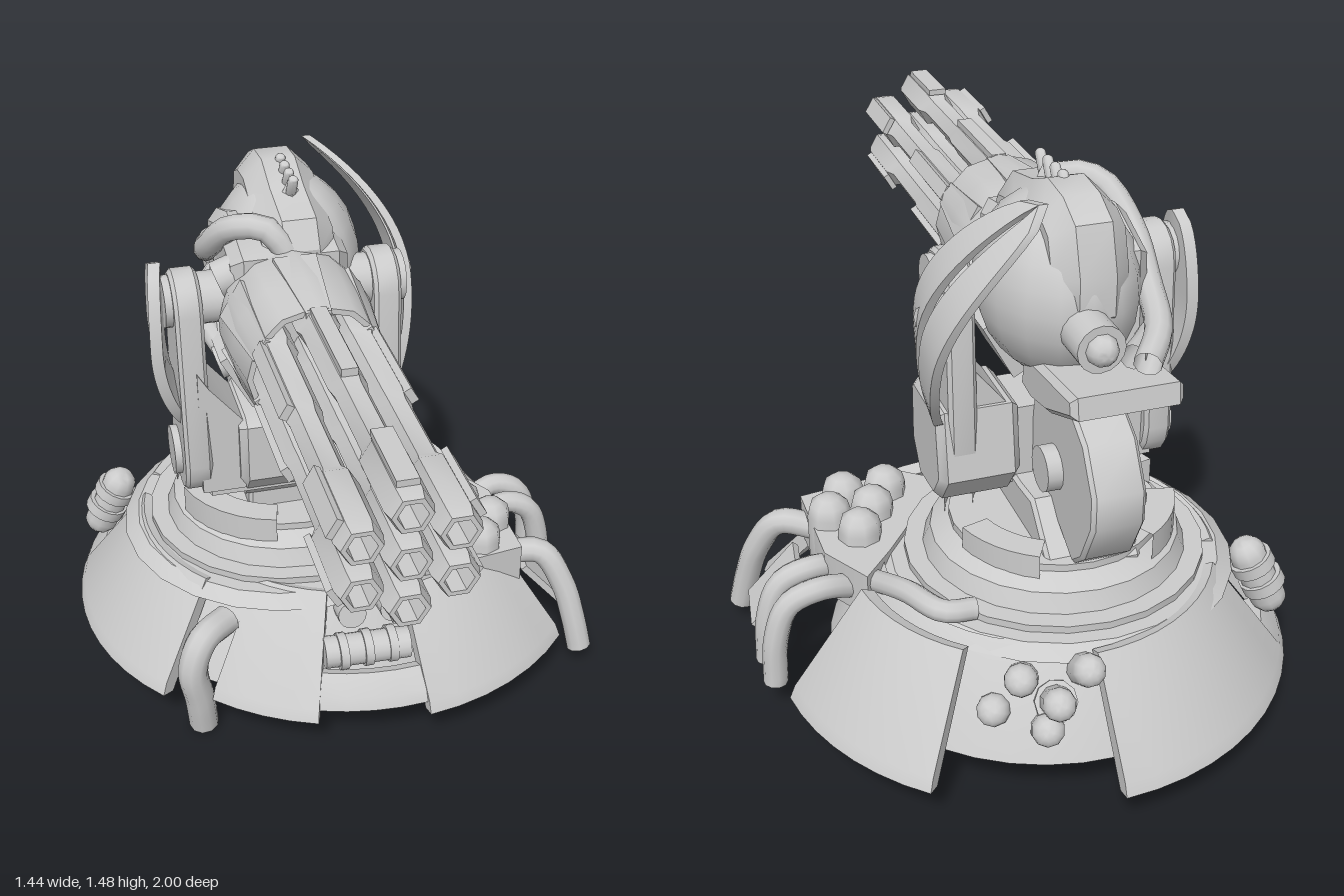
import * as THREE from 'three';
import { toCreasedNormals } from 'three/addons/utils/BufferGeometryUtils.js';

const V = (p) => new THREE.Vector3(...p);
const rad = THREE.MathUtils.degToRad;
const CX = -0.115; // turret axis

export function createModel() {
  const root = new THREE.Group();
  const solid = new THREE.MeshStandardMaterial({ color: 0xcccccc });
  const open = new THREE.MeshStandardMaterial({ color: 0xcccccc, side: THREE.DoubleSide });

  const add = (name, geo, pos = [0, 0, 0], mat = solid, crease = 0.6) => {
    const m = new THREE.Mesh(toCreasedNormals(geo, crease), mat);
    m.name = name;
    m.position.set(...pos);
    root.add(m);
    return m;
  };
  const lathe = (pts, seg, start = 0, len = Math.PI * 2) =>
    new THREE.LatheGeometry(pts.map((p) => new THREE.Vector2(...p)), seg, start, len);
  const tube = (name, pts, r) =>
    add(name, new THREE.TubeGeometry(new THREE.CatmullRomCurve3(pts.map(V)), 20, r, 10), [0, 0, 0], open, 1);
  // round part running from a to b
  const between = (name, a, b, makeGeo) => {
    const d = V(b).sub(V(a));
    const m = add(name, makeGeo(d.length()), V(a).add(V(b)).multiplyScalar(0.5).toArray(), solid, 0.9);
    m.quaternion.setFromUnitVectors(new THREE.Vector3(0, 1, 0), d.normalize());
  };
  const rod = (name, a, b, r, seg = 16) => between(name, a, b, (l) => new THREE.CylinderGeometry(r, r, l, seg));
  const capsule = (name, a, b, r) => between(name, a, b, (l) => new THREE.CapsuleGeometry(r, l, 5, 10));
  // side outline given as [z, y], extruded from x0 to x1
  const side = (name, pts, x0, x1, bevel = 0.01) => {
    const s = new THREE.Shape(pts.map(([z, y]) => new THREE.Vector2(-z, y)));
    const g = new THREE.ExtrudeGeometry(s, {
      depth: x1 - x0 - 2 * bevel, bevelEnabled: true, bevelSize: bevel, bevelOffset: -bevel,
      bevelThickness: bevel, bevelSegments: 1,
    });
    add(name, g.rotateY(Math.PI / 2), [x0 + bevel, 0, 0]);
  };

  // --- Base: inner shell, floor and stepped turntable ---
  add('innerShell', lathe([[0.57, 0.14], [0.46, 0.36], [0.42, 0.4]], 40), [-0.06, 0, -0.3], open);
  add('turntableFloor', new THREE.CircleGeometry(0.42, 32).rotateX(Math.PI / 2), [-0.08, 0, -0.3], open);
  root.getObjectByName('turntableFloor').position.y = 0.395;
  add('turntable', lathe([
    [0.48, 0.37], [0.44, 0.4], [0.4, 0.4], [0.4, 0.42], [0.35, 0.42], [0.33, 0.47], [0.28, 0.5], [0.28, 0.52], [0, 0.52],
  ], 24), [-0.1, 0, -0.3], open);
  for (const [a, l] of [[12, 62], [-76, 62], [105, 45], [210, 45]])
    add('turntableRim', lathe([[0.305, 0.42], [0.305, 0.555], [0.23, 0.555], [0.23, 0.42]], 6, rad(a), rad(l)), [CX, 0, -0.3], open);

  // Armour skirt; angles run from +x towards +z, t trims the top edge, lift raises the bottom lip
  const panel = (x, a0, a1, t = 1, rOut = 0.7, lift = 0) => {
    const ri = THREE.MathUtils.lerp(rOut - 0.02, 0.49, t), yi = THREE.MathUtils.lerp(0.15, 0.41, t);
    const ro = rOut - lift;
    const p = [[ro - 0.04, 0.12 + lift], [ro, 0.13 + lift], [ro - 0.015, 0.165 + lift], [ri, yi], [ri - 0.035, yi - 0.015]];
    const phi = rad(90 - a1), len = rad(a1 - a0);
    add('skirtPanel', lathe([...p, p[0]], Math.ceil((a1 - a0) / 7), phi, len), [x, 0, -0.3], open);
    for (const e of [phi, phi + len]) {
      const cap = new THREE.ShapeGeometry(new THREE.Shape(p.map((q) => new THREE.Vector2(...q))));
      add('skirtPanelEnd', cap.rotateY(e - Math.PI / 2), [x, 0, -0.3], open);
    }
  };
  panel(0.08, 43, 85, 1, 0.72);
  panel(0.08, 85, 110, 0.33, 0.72, 0.025);
  panel(0.08, 110, 135, 1, 0.72);
  panel(-0.03, 139, 196);
  panel(-0.03, 196, 209, 0.25);
  panel(-0.03, 209, 270);
  panel(-0.04, -50, -7);
  const flap = add('sideFlap', new THREE.BoxGeometry(0.2, 0.02, 0.16), [0.61, 0.22, -0.01]);
  flap.rotation.set(0, rad(-8), rad(-48), 'YXZ');

  // Parts set into the skirt notches
  rod('frontCanister', [-0.12, 0.27, 0.25], [0.12, 0.27, 0.26], 0.045);
  for (const x of [-0.07, 0.0, 0.07]) rod('canisterBand', [x - 0.012, 0.27, 0.255], [x + 0.012, 0.27, 0.255], 0.052);
  for (const x of [-0.03, 0.09]) rod('notchPort', [x, 0.34, 0.12], [x, 0.36, 0.22], 0.04);
  capsule('sideCanister', [-0.63, 0.27, -0.54], [-0.57, 0.4, -0.52], 0.05);
  rod('canisterBand', [-0.62, 0.3, -0.537], [-0.605, 0.33, -0.532], 0.06);
  rod('canisterBand', [-0.59, 0.36, -0.527], [-0.575, 0.39, -0.522], 0.06);
  for (const [x, y, z] of [[0.0, 0.38, -0.81], [0.09, 0.33, -0.85], [0.16, 0.36, -0.77], [0.11, 0.24, -0.83], [0.22, 0.26, -0.74]]) {
    const d = V([x + 0.05, 0, z + 0.3]).normalize().multiplyScalar(0.1);
    capsule('rearCapsule', [x - d.x, y - 0.07, z - d.z], [x, y, z], 0.042);
    rod('rearCapsuleCollar', [x - d.x * 1.4, y - 0.098, z - d.z * 1.4], [x - d.x * 0.6, y - 0.042, z - d.z * 0.6], 0.054, 10);
  }

  // Honeycomb tray with domed cells
  const tray = [[0.42, -0.32], [0.5, -0.18], [0.5, 0.11], [0.2, 0.15], [0.1, 0.07], [0.33, -0.22]];
  add('cellTray', new THREE.ExtrudeGeometry(new THREE.Shape(tray.map(([x, z]) => new THREE.Vector2(x, -z))),
    { depth: 0.13, bevelEnabled: false }).rotateX(-Math.PI / 2), [0, 0.285, 0]);
  for (const [x, z] of [[0.39, -0.13], [0.33, -0.03], [0.45, -0.03], [0.27, 0.06], [0.39, 0.06]])
    add('domedCell', lathe([[0.06, 0.3], [0.06, 0.44], [0.052, 0.47], [0.03, 0.488], [0, 0.494]], 8), [x, 0, z], solid, 1);

  // Hoses running over the edge
  tube('hose', [[-0.36, 0.32, 0.1], [-0.44, 0.32, 0.17], [-0.475, 0.24, 0.19], [-0.46, 0.12, 0.18], [-0.45, 0.01, 0.16]], 0.042);
  tube('hose', [[0.47, 0.35, 0.04], [0.57, 0.365, 0.08], [0.63, 0.27, 0.12], [0.66, 0.16, 0.15], [0.68, 0.06, 0.17]], 0.036);
  for (const z of [-0.17, -0.27])
    tube('hose', [[0.43, 0.33, z + 0.04], [0.54, 0.37, z], [0.62, 0.34, z], [0.66, 0.24, z], [0.67, 0.1, z]], 0.033);
  tube('hose', [[0.2, 0.42, -0.54], [0.28, 0.43, -0.54], [0.34, 0.42, -0.42], [0.39, 0.37, -0.28]], 0.03);
  rod('undersidePin', [0.07, 0.11, -0.4], [0.07, 0.42, -0.4], 0.035);

  // --- Yoke: neck, counterweight, arms ---
  side('neck', [[-0.13, 0.42], [-0.13, 0.62], [-0.32, 0.62], [-0.42, 0.63], [-0.56, 0.5], [-0.56, 0.42]], -0.24, 0.01);
  side('counterweight', [[-0.24, 0.62], [-0.28, 0.85], [-0.38, 0.98], [-0.5, 0.96], [-0.62, 0.89], [-0.69, 0.78],
    [-0.69, 0.69], [-0.63, 0.57], [-0.57, 0.52], [-0.42, 0.6]], CX - 0.07, CX + 0.07);
  rod('counterweightHub', [CX - 0.11, 0.73, -0.44], [CX + 0.11, 0.73, -0.44], 0.06);
  const cheek = [[-0.06, 0.66], [-0.06, 0.83], [-0.09, 0.85], [-0.3, 0.85], [-0.33, 0.66], [-0.27, 0.58], [-0.13, 0.57]];
  side('yokeCheek', cheek, -0.27, -0.08, 0.02);
  side('yokeCheek', cheek, 0.0, 0.22, 0.02);
  side('yokeBridge', [[-0.1, 0.6], [-0.1, 0.82], [-0.28, 0.82], [-0.28, 0.6]], -0.36, 0.1);
  // stadium outline: half circles round an upper and a lower centre
  const arm = [[1.16, 0.095, 0], [0.71, 0.12, Math.PI]].flatMap(([y, r, a0]) =>
    Array.from({ length: 9 }, (_, i) => [-0.2 + r * Math.cos(a0 + i * Math.PI / 8), y + r * Math.sin(a0 + i * Math.PI / 8)]));
  for (const s of [-1, 1]) {
    side('yokeArm', arm, ...[CX + s * 0.23, CX + s * 0.305].sort((p, q) => p - q));
    // tapered inner brace joining arm and cheek
    const brace = new THREE.Shape([[0.26, 1.0], [0.23, 0.95], [0.14, 0.84], [0.14, 0.62], [0.26, 0.62]].map(([x, y]) => new THREE.Vector2(s * x, y)));
    add('armBrace', new THREE.ExtrudeGeometry(brace, { depth: 0.2, bevelEnabled: false }), [CX, 0, -0.29]);
    rod('pivotDisc', [CX + s * 0.15, 1.17, -0.2], [CX + s * 0.325, 1.17, -0.2], 0.07);
    rod('footDisc', [CX + s * 0.22, 0.7, -0.21], [CX + s * 0.325, 0.7, -0.21], 0.07);
    const c = add('lowerCheek', new THREE.BoxGeometry(0.05, 0.17, 0.22), [CX + s * 0.14, 0.99, -0.16]);
    c.rotation.z = s * -0.5;
  }

  // Bowed shields: a box bent so half-width follows an ellipse along its length
  const shield = (name, x, thick, cy, cz, L, W, tilt, v0, v1) => {
    const g = new THREE.BoxGeometry(thick, 2, 1, 1, 24, 4), p = g.attributes.position;
    for (let i = 0; i < p.count; i++) {
      const u = p.getY(i), v = THREE.MathUtils.lerp(v0, v1, p.getZ(i) + 0.5);
      const w = W * v * Math.sqrt(Math.max(0, 1 - u * u));
      p.setXYZ(i, p.getX(i) + x(u) - 0.2 * Math.max(w, 0), cy + u * L * Math.cos(tilt) + w * Math.sin(tilt),
        cz - u * L * Math.sin(tilt) + w * Math.cos(tilt));
    }
    add(name, g, [0, 0, 0], open);
  };
  const rightBow = (u) => 0.265 - (u > -0.1 ? 0.2 : 0.09) * (u + 0.1) ** 2;
  for (const [v0, v1] of [[0.15, 1], [-1, -0.15]])
    shield('rightShield', rightBow, 0.024, 1.13, -0.36, 0.365, 0.125, 0.4, v0, v1);
  shield('leftShield', (u) => -0.452 + (u < 0.2 ? 0.06 : 0) * (u - 0.2) ** 2, 0.032, 1.03, -0.21, 0.25, 0.12, 0, -1, 1);
  rod('shieldMount', [0.18, 1.13, -0.28], [0.25, 1.13, -0.33], 0.04, 10);

  // --- Head ---
  add('headShell', new THREE.SphereGeometry(1, 16, 12).scale(0.2, 0.235, 0.25), [-0.075, 1.2, -0.34]);
  side('headCrest', [[-0.08, 1.33], [-0.12, 1.4], [-0.26, 1.43], [-0.36, 1.47], [-0.46, 1.46], [-0.54, 1.42],
    [-0.58, 1.3], [-0.58, 1.2], [-0.5, 1.1], [-0.1, 1.1]], -0.18, 0.01, 0.05);
  side('headCore', [[-0.08, 1.0], [-0.08, 1.32], [-0.3, 1.36], [-0.46, 1.3], [-0.48, 1.05], [-0.36, 0.98]], -0.27, 0.04, 0.03);
  side('rearBeak', [[-0.38, 0.95], [-0.4, 1.05], [-0.58, 1.07], [-0.72, 1.085], [-0.73, 1.03], [-0.56, 0.96], [-0.46, 0.94]], -0.25, 0.03, 0.015);
  rod('exhaust', [-0.06, 1.17, -0.5], [-0.06, 1.17, -0.67], 0.06);
  capsule('exhaustTip', [-0.06, 1.17, -0.62], [-0.06, 1.17, -0.67], 0.04);
  for (const z of [-0.22, -0.27, -0.32, -0.37]) capsule('crestSpike', [-0.08, 1.4, z - 0.03], [-0.08, 1.47, z + 0.015], 0.014);
  add('sensorFin', new THREE.ConeGeometry(0.07, 0.14, 4), [-0.08, 1.4, -0.24]);
  tube('headHose', [[-0.12, 1.32, -0.11], [-0.17, 1.38, -0.13], [-0.25, 1.37, -0.18], [-0.295, 1.28, -0.28],
    [-0.28, 1.2, -0.42], [-0.24, 1.15, -0.58], [-0.17, 1.12, -0.68]], 0.034);
  tube('headHose', [[-0.28, 1.02, -0.12], [-0.31, 1.05, -0.28], [-0.27, 1.08, -0.46], [-0.16, 1.11, -0.62]], 0.03);
  rod('hoseSocket', [-0.3, 1.24, -0.15], [-0.22, 1.27, -0.15], 0.05);
  rod('hoseSocket', [-0.31, 1.0, -0.14], [-0.22, 1.03, -0.14], 0.045);

  // --- Seven-barrel gun: hub with a recessed face ---
  const gunY = 1.14;
  add('gunHub', lathe([[0, -0.12], [0.19, -0.12], [0.2, -0.05], [0.195, 0.06], [0.18, 0.2], [0.165, 0.2], [0.165, 0.1], [0, 0.1]], 12)
    .rotateX(Math.PI / 2), [CX, gunY, 0]);
  for (let i = 0; i < 7; i++) {
    const a = rad(30 + 60 * i), r = i < 6 ? 0.122 : 0;
    const at = (d, z) => [CX + d * Math.cos(a), gunY + d * Math.sin(a), z];
    add('barrel', lathe([[0.038, 0.08], [0.056, 0.08], [0.056, 0.2], [0.047, 0.22], [0.047, 0.48], [0.04, 0.52], [0.04, 0.75],
      [0.054, 0.78], [0.054, 0.97], [0.046, 1], [0.034, 1], [0.034, 0.84], [0, 0.84]], 6)
      .rotateX(Math.PI / 2).rotateZ(Math.PI / 6), at(r, 0));
    if (i === 6) continue;
    // tapered fairing, rail and outer muzzle guard of each outer barrel
    const outer = [
      add('barrelFairing', new THREE.CylinderGeometry(0.045, 0.08, 0.26, 4).rotateY(Math.PI / 4).rotateX(Math.PI / 2), at(0.14, 0.08)),
      add('barrelRail', new THREE.BoxGeometry(0.02, 0.04, 0.3), at(0.17, 0.35)),
      add('muzzleGuard', new THREE.BoxGeometry(0.016, 0.05, 0.2), at(0.177, 0.86)),
    ];
    for (const m of outer) m.rotation.z = a;
  }
  return root;
}
